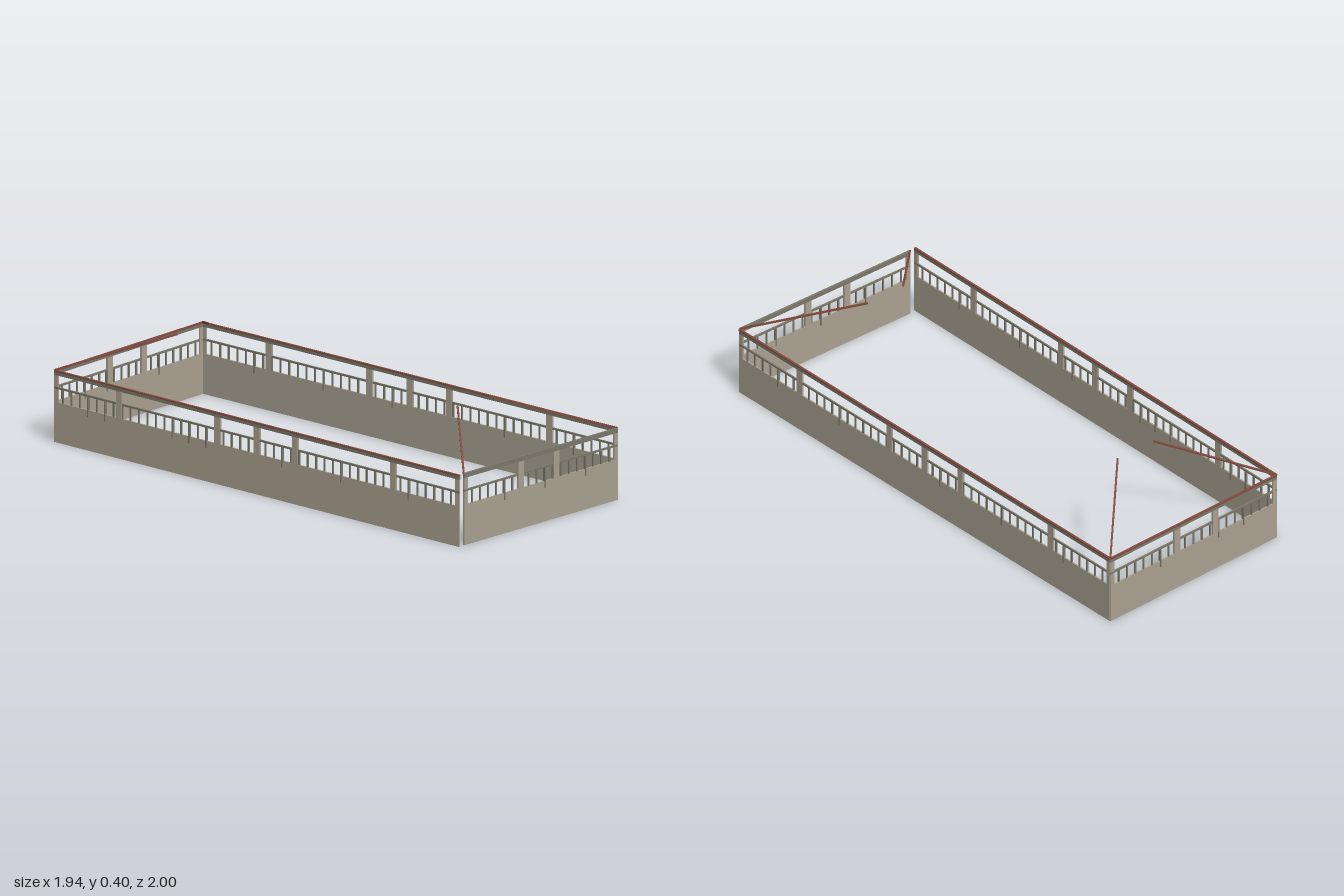
import * as THREE from 'three';

const mat = (name, color) => {
  const m = new THREE.MeshStandardMaterial({ color });
  m.name = name;
  return m;
};

export function createModel() {
  const stone = mat('stone', 0xaaa292);
  const timber = mat('greyTimber', 0x7c796b);
  const redWood = mat('redWood', 0x844a3e);
  const root = new THREE.Group();
  root.name = 'openPavilion';

  // Box spanning u0..u1 along a wall, y0..y1 in height, t thick, pushed outward by off
  const box = (parent, name, material, u0, u1, y0, y1, t, off = 0) => {
    const m = new THREE.Mesh(new THREE.BoxGeometry(u1 - u0, y1 - y0, t), material);
    m.position.set((u0 + u1) / 2, (y0 + y1) / 2, off);
    m.name = name;
    parent.add(m);
  };

  // One wall from (x0,z0) to (x1,z1): parapet, balustrade, posts and top beam
  const wall = (name, [x0, z0], [x1, z1], posts, hangers, redTop) => {
    const g = new THREE.Group();
    g.name = name;
    const len = Math.hypot(x1 - x0, z1 - z0);
    g.position.set(x0, 0, z0);
    g.rotation.y = -Math.atan2(z1 - z0, x1 - x0);

    box(g, 'parapet', stone, 0, len, 0, 0.15, 0.006);
    box(g, 'handrail', timber, 0, len, 0.199, 0.206, 0.006);
    box(g, 'topBeam', timber, 0, len, 0.25, 0.262, 0.008);
    box(g, 'beamCap', redTop ? redWood : timber, 0, len, 0.262, 0.267, 0.009);

    // Wide posts between the narrower end posts
    box(g, 'endPost', stone, 0, 0.018, 0.15, 0.25, 0.006);
    box(g, 'endPost', stone, len - 0.018, len, 0.15, 0.25, 0.006);
    posts.forEach((f) => box(g, 'post', stone, f * len - 0.014, f * len + 0.014, 0.15, 0.25, 0.008));

    // Balusters, a few of which run down over the parapet
    const n = Math.round(len / 0.041);
    for (let i = 1; i < n; i++) {
      const u = (i * len) / n;
      const low = hangers.includes(i);
      box(g, 'baluster', timber, u - 0.003, u + 0.003, low ? 0.125 : 0.15, 0.2, low ? 0.009 : 0.005);
    }
    root.add(g);
  };

  const longPosts = [0.16, 0.403, 0.5, 0.595, 0.837];
  const shortPosts = [0.37, 0.6];
  wall('backLongWall', [-0.39, -0.995], [0.966, 0.452], longPosts, [6, 14, 22, 35, 43], true);
  wall('frontLongWall', [-0.968, -0.44], [0.355, 0.995], longPosts, [4, 6, 14, 16, 18, 27, 34, 42], true);
  wall('frontShortWall', [0.372, 0.974], [0.966, 0.455], shortPosts, [5, 10, 15], false);
  wall('backShortWall', [-0.968, -0.44], [-0.39, -0.995], shortPosts, [4, 7, 14], true);

  // Slender hip rafters rising inward from the four corners
  const rafters = [
    [[-0.966, 0.267, -0.441], [-0.53, 0.393, -0.425]],
    [[-0.39, 0.267, -0.992], [-0.405, 0.393, -0.54]],
    [[0.964, 0.267, 0.455], [0.51, 0.393, 0.44]],
    [[0.372, 0.267, 0.972], [0.386, 0.393, 0.557]],
  ];
  rafters.forEach(([a, b]) => {
    const p = new THREE.Vector3(...a);
    const q = new THREE.Vector3(...b);
    const m = new THREE.Mesh(new THREE.BoxGeometry(0.007, 0.006, p.distanceTo(q)), redWood);
    m.position.copy(p).lerp(q, 0.5);
    m.lookAt(q);
    m.name = 'hipRafter';
    root.add(m);
  });

  return root;
}
